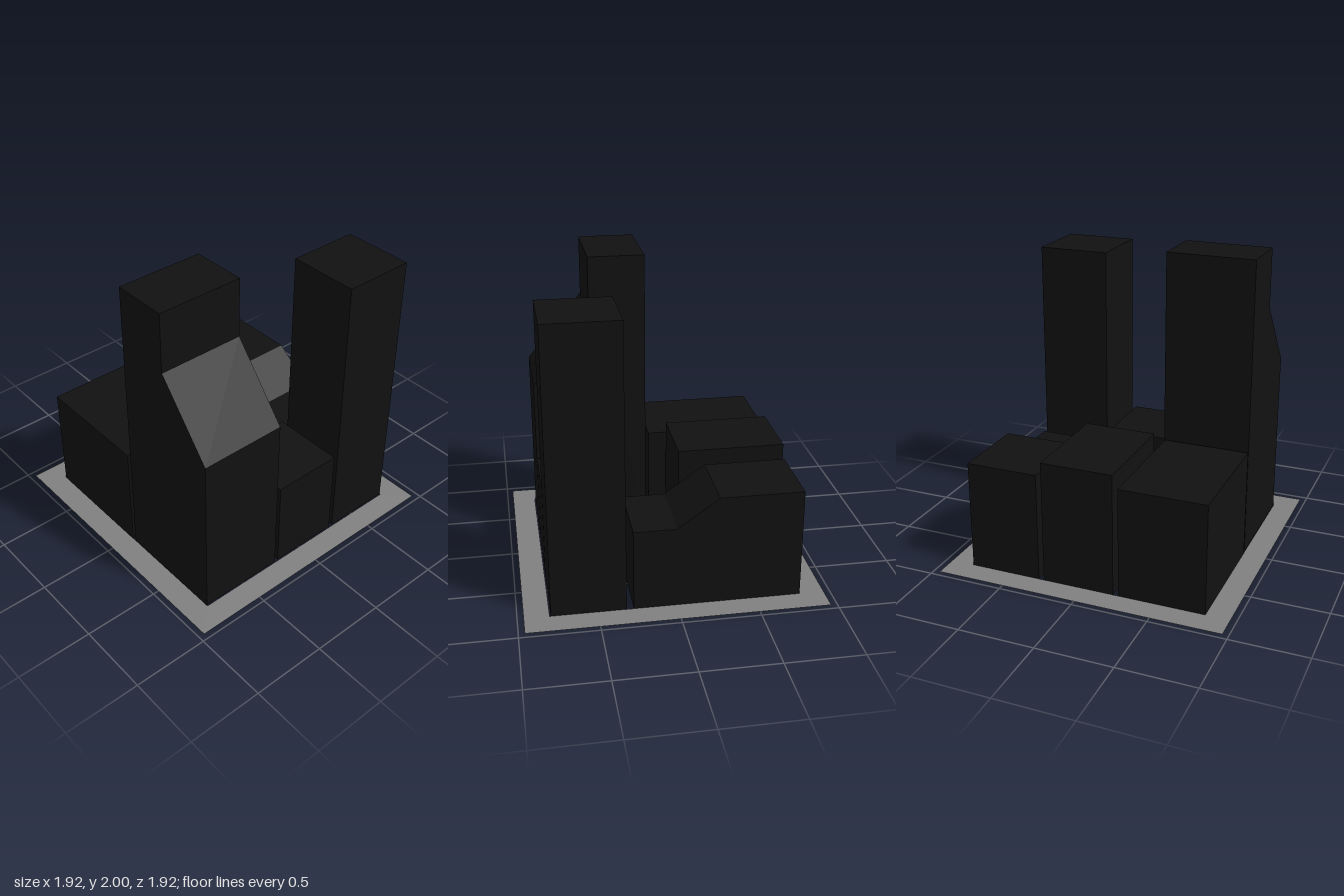
import * as THREE from 'three';

const wallMaterial = new THREE.MeshStandardMaterial({ color: 0x111111, flatShading: true });
const pavementMaterial = new THREE.MeshStandardMaterial({ color: 0x808080, side: THREE.DoubleSide });

// Building: an x/y roof profile, closed along the ground, extruded from zBack to zFront
function building(name, zBack, zFront, roof) {
  const first = roof[0], last = roof[roof.length - 1];
  const outline = [[first[0], 0], [last[0], 0], ...[...roof].reverse()];
  const shape = new THREE.Shape(outline.map(([x, y]) => new THREE.Vector2(x, y)));
  const geometry = new THREE.ExtrudeGeometry(shape, { depth: zFront - zBack, bevelEnabled: false });
  geometry.translate(0, 0, zBack);
  const mesh = new THREE.Mesh(geometry, wallMaterial);
  mesh.name = name;
  return mesh;
}

// Flat-roofed profile
const flat = (x0, x1, height) => [[x0, height], [x1, height]];

function square(path, r) {
  path.moveTo(-r, -r);
  path.lineTo(r, -r);
  path.lineTo(r, r);
  path.lineTo(-r, r);
  path.closePath();
  return path;
}

// Flat ring of pavement around the block
function pavement() {
  const shape = square(new THREE.Shape(), 0.96);
  shape.holes.push(square(new THREE.Path(), 0.8));
  const mesh = new THREE.Mesh(new THREE.ShapeGeometry(shape).rotateX(-Math.PI / 2), pavementMaterial);
  mesh.name = 'pavement';
  return mesh;
}

export function createModel() {
  const group = new THREE.Group();
  group.name = 'cityBlock';
  group.add(
    pavement(),
    building('frontRightBuilding', 0.23, 0.802, flat(-0.8, 0.017, 0.735)),
    // Tower with a sloping wing on its left
    building('frontLeftTower', 0.215, 0.798, [[0.04, 2], [0.413, 2], [0.413, 1.6], [0.793, 1.14]]),
    building('middleRightBuilding', -0.285, 0.195, flat(-0.8, -0.1, 0.82)),
    building('middleLeftBuilding', -0.29, 0.188, flat(0.295, 0.793, 0.62)),
    // Long building stepping down by a sloped roof
    building('backRightBuilding', -0.8, -0.32, [[-0.8, 0.73], [-0.265, 0.73], [0, 0.54], [0.273, 0.54]]),
    building('backLeftTower', -0.8, -0.32, flat(0.317, 0.793, 1.89)),
  );
  return group;
}
